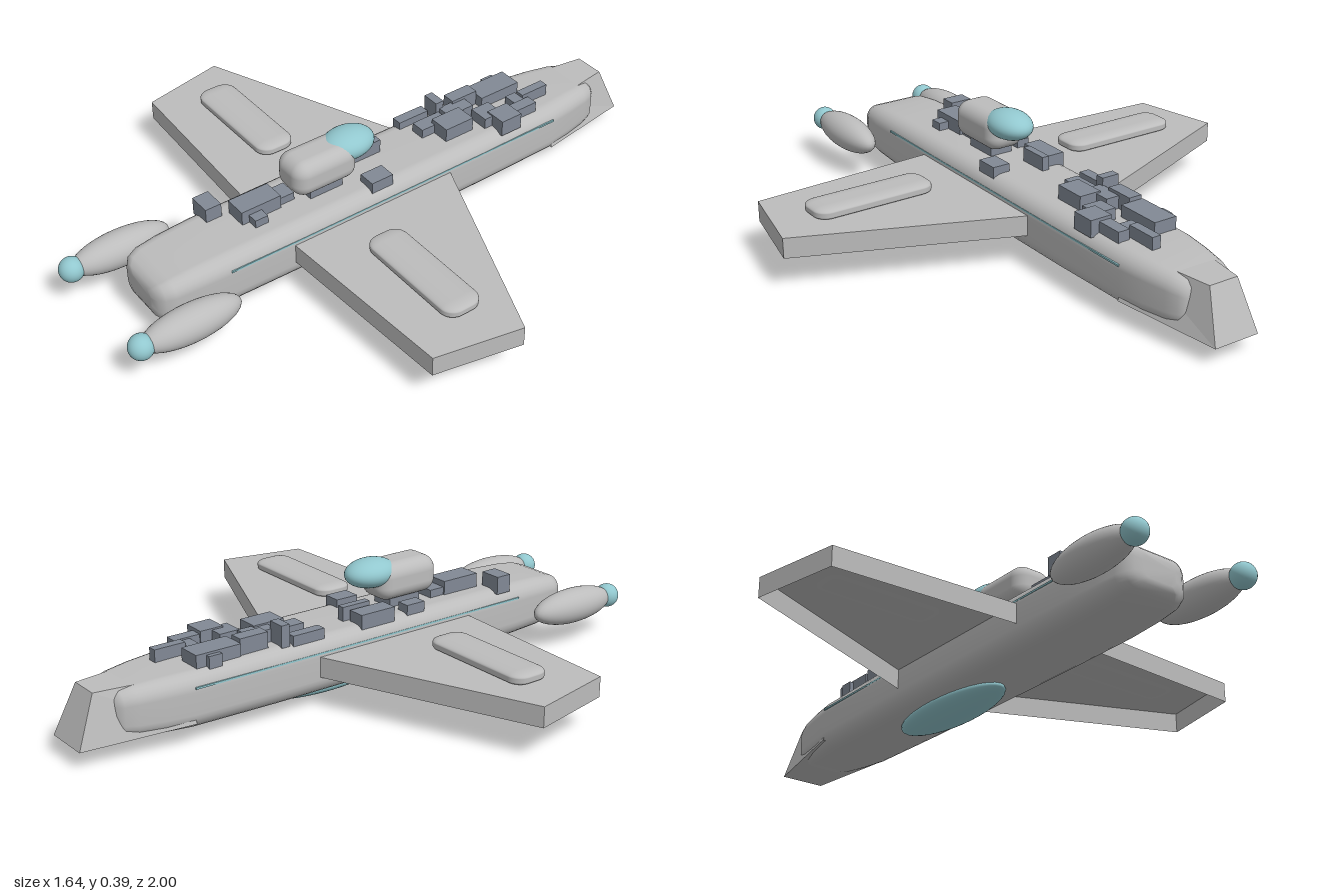
import * as THREE from 'three';
import { RoundedBoxGeometry } from 'three/addons/geometries/RoundedBoxGeometry.js';

const mat = (name, color, side = THREE.FrontSide) => {
  const m = new THREE.MeshStandardMaterial({ color, side });
  m.name = name;
  return m;
};

// Flat-shaded surface from a list of quads, each four [x, y, z] corners
function quads(list) {
  const pos = [];
  for (const [a, b, c, d] of list) pos.push(...a, ...b, ...c, ...a, ...c, ...d);
  const g = new THREE.BufferGeometry();
  g.setAttribute('position', new THREE.Float32BufferAttribute(pos, 3));
  g.computeVertexNormals();
  return g;
}

// Smooth loft of rounded rectangles along z; sections are [z, halfWidth, halfHeight]
function roundedLoft(sections, cy) {
  const pos = [], idx = [], arc = 6, n = 4 * (arc + 1);
  for (const [z, w, h] of sections) {
    const r = 0.6 * Math.min(w, h);
    for (let q = 0; q < 4; q++) {
      const sx = q === 0 || q === 3 ? 1 : -1, sy = q < 2 ? 1 : -1;
      for (let i = 0; i <= arc; i++) {
        const a = (q + i / arc) * Math.PI / 2;
        pos.push(sx * (w - r) + r * Math.cos(a), cy + sy * (h - r) + r * Math.sin(a), z);
      }
    }
  }
  for (let s = 0; s < sections.length - 1; s++) {
    for (let i = 0; i < n; i++) {
      const a = s * n + i, b = s * n + (i + 1) % n;
      idx.push(a, b, b + n, a, b + n, a + n);
    }
  }
  // end caps
  const last = (sections.length - 1) * n;
  for (let i = 1; i < n - 1; i++) {
    idx.push(0, i + 1, i, last, last + i, last + i + 1);
  }
  const g = new THREE.BufferGeometry();
  g.setAttribute('position', new THREE.Float32BufferAttribute(pos, 3));
  g.setIndex(idx);
  g.computeVertexNormals();
  return g;
}

export function createModel() {
  const model = new THREE.Group();
  const grey = mat('hull grey', 0xbcbcbc);
  const greyShell = mat('hull grey', 0xbcbcbc, THREE.DoubleSide);
  greyShell.name = 'hull grey shell';
  const teal = mat('teal glass', 0x92c8cf);
  const slate = mat('slate plating', 0x818995);

  const add = (name, geo, material, x = 0, y = 0, z = 0) => {
    const m = new THREE.Mesh(geo, material);
    m.name = name;
    m.position.set(x, y, z);
    model.add(m);
    return m;
  };
  const ellipsoid = (rx, ry, rz) => new THREE.SphereGeometry(1, 32, 20).scale(rx, ry, rz);

  // Long hull with softly pinched ends
  add('hull', roundedLoft([
    [-0.882, 0.06, 0.04], [-0.878, 0.08, 0.058], [-0.86, 0.097, 0.072], [-0.82, 0.11, 0.079],
    [-0.74, 0.125, 0.085], [-0.65, 0.137, 0.088], [-0.35, 0.141, 0.091], [0.35, 0.141, 0.091],
    [0.6, 0.138, 0.09], [0.72, 0.132, 0.085], [0.79, 0.125, 0.077], [0.82, 0.112, 0.067],
    [0.836, 0.09, 0.052], [0.842, 0.06, 0.035],
  ], 0.133), grey);

  // Wedge tail with a sloped rear face
  const tail = (s) => ({
    rt: [s * 0.05, 0.212, -0.935], rb: [s * 0.077, 0.055, -1],
    ft: [s * 0.09, 0.212, -0.66], fb: [s * 0.138, 0.07, -0.65],
  });
  const L = tail(1), R = tail(-1);
  add('tail', quads([
    [L.rt, L.rb, R.rb, R.rt],
    [L.rt, R.rt, R.ft, L.ft],
    [L.rb, L.fb, R.fb, R.rb],
    [L.rb, L.rt, L.ft, L.fb],
    [R.rt, R.rb, R.fb, R.ft],
  ]), greyShell);

  // Paired parts
  for (const s of [1, -1]) {
    const side = s > 0 ? 'left' : 'right';

    // Wing: top skin with edge walls, hollow underneath
    const plan = [[0.13, -0.214], [0.82, 0.07], [0.76, 0.355], [0.13, 0.388]];
    const top = plan.map(([x, z]) => [s * x, 0.171, z]);
    const low = plan.map(([x, z]) => [s * x, 0.105, z]);
    const faces = [s > 0 ? [...top].reverse() : top];
    for (let i = 0; i < 3; i++) {
      const f = [top[i], top[i + 1], low[i + 1], low[i]];
      faces.push(s > 0 ? f : f.reverse());
    }
    add(side + 'Wing', quads(faces), greyShell);

    // Raised blister on the wing
    const blister = new RoundedBoxGeometry(0.41, 0.13, 0.13, 5, 0.045).scale(1, 0.31, 1);
    add(side + 'WingBlister', blister, grey, s * 0.475, 0.186, 0.165);

    // Nose pod with a glowing ball tip
    add(side + 'Pod', ellipsoid(0.058, 0.058, 0.168), grey, s * 0.205, 0.135, 0.795);
    add(side + 'PodTip', ellipsoid(0.04, 0.04, 0.04), teal, s * 0.205, 0.135, 0.96);

    // Thin side stripe
    add(side + 'Stripe', new THREE.BoxGeometry(0.008, 0.006, 1.26), teal, s * 0.136, 0.181, -0.02);
  }

  // Bridge tower, its foot and canopy
  add('bridge', new RoundedBoxGeometry(0.138, 0.122, 0.23, 6, 0.045), grey, 0, 0.311, 0.205);
  add('bridgeFoot', new THREE.BoxGeometry(0.08, 0.06, 0.12), slate, 0, 0.235, 0.2);
  add('canopy', ellipsoid(0.068, 0.047, 0.092), teal, 0, 0.342, 0.092);

  // Belly dome
  add('bellyDome', ellipsoid(0.087, 0.036, 0.25), teal, 0, 0.036, -0.11);

  // Deck blocks: x0, x1, z0, z1, top
  const blocks = [
    [-0.095, -0.015, -0.62, -0.465, 0.262], [-0.11, -0.09, -0.585, -0.54, 0.255],
    [-0.09, -0.045, -0.465, -0.365, 0.275], [-0.055, 0, -0.415, -0.315, 0.265],
    [-0.11, -0.05, -0.33, -0.3, 0.29], [-0.115, -0.08, -0.29, -0.175, 0.25],
    [-0.05, 0, -0.31, -0.205, 0.255], [-0.015, 0.06, -0.365, -0.255, 0.27],
    [0.02, 0.05, -0.69, -0.585, 0.26], [0.01, 0.065, -0.585, -0.545, 0.25],
    [0.06, 0.1, -0.6, -0.49, 0.255], [0.055, 0.13, -0.51, -0.43, 0.265],
    [0.01, 0.08, -0.47, -0.4, 0.26], [-0.12, -0.06, -0.035, 0.095, 0.26],
    [-0.05, -0.025, -0.055, 0.05, 0.27], [0.06, 0.12, 0.005, 0.085, 0.25],
    [-0.115, -0.07, 0.15, 0.22, 0.25], [-0.055, 0.02, 0.355, 0.495, 0.27],
    [-0.05, 0.01, 0.3, 0.355, 0.25], [0.02, 0.055, 0.425, 0.47, 0.25],
    [-0.13, -0.055, 0.52, 0.575, 0.27],
  ];
  const base = 0.21;
  blocks.forEach(([x0, x1, z0, z1, y], i) => {
    add('deckBlock' + (i + 1), new THREE.BoxGeometry(x1 - x0, y - base, z1 - z0), slate,
      (x0 + x1) / 2, (y + base) / 2, (z0 + z1) / 2);
  });

  return model;
}
